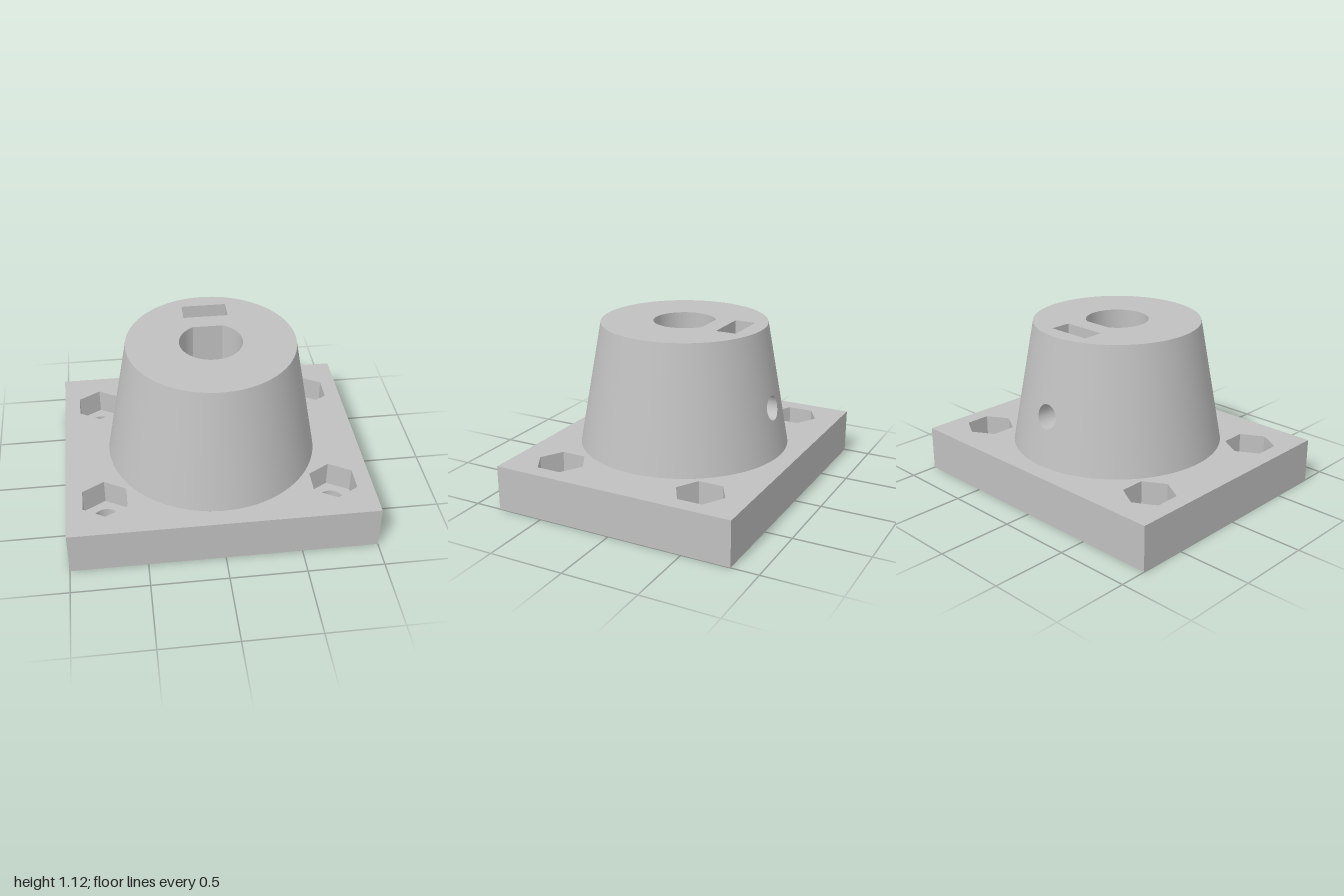
import * as THREE from 'three';
import { mergeGeometries, toCreasedNormals } from 'three/addons/utils/BufferGeometryUtils.js';

// Modelled z-up (x right, y towards the back); the whole part is tipped to y-up at the end.
const BASE_T = 0.3, TOP = 1.125, R_BASE = 0.7, R_TOP = 0.55;
const SLOPE = (R_BASE - R_TOP) / (TOP - BASE_T);
const POCKET_Z = 0.13;                              // floor of the nut pockets
const BORE_R = 0.205, BORE_FLAT = 0.18, BORE_Z = BASE_T;
const SLOT = { x: 0.148, y0: 0.3, y1: 0.44, z: 0.47 };
const SCREW_R = 0.08, SCREW_Z = 0.62;
const coneR = z => R_BASE - SLOPE * (z - BASE_T);

// Counter-clockwise points on an arc (a full circle by default)
function arc(r, n, cx = 0, cy = 0, a0 = 0, a1 = Math.PI * 2) {
  const closed = a1 - a0 > Math.PI * 2 - 1e-6;
  return Array.from({ length: closed ? n : n + 1 }, (_, i) => {
    const a = a0 + (a1 - a0) * i / n;
    return new THREE.Vector2(cx + r * Math.cos(a), cy + r * Math.sin(a));
  });
}
const rect = (x0, y0, x1, y1) =>
  [[x0, y0], [x1, y0], [x1, y1], [x0, y1]].map(p => new THREE.Vector2(...p));
const at = (pts, z) => pts.map(p => new THREE.Vector3(p.x, p.y, z));

// Skin between successive loops of points
function loft(loops, closed = true) {
  const pos = [];
  for (let k = 0; k + 1 < loops.length; k++) {
    const a = loops[k], b = loops[k + 1], n = a.length;
    for (let i = 0; i < (closed ? n : n - 1); i++) {
      const j = (i + 1) % n;
      for (const p of [a[i], a[j], b[j], a[i], b[j], b[i]]) pos.push(p.x, p.y, p.z);
    }
  }
  const g = new THREE.BufferGeometry();
  g.setAttribute('position', new THREE.Float32BufferAttribute(pos, 3));
  g.computeVertexNormals();
  return toCreasedNormals(g, 0.4);
}

// Flat face with holes, in the same attribute layout as loft
function face(outline, holes = []) {
  const s = new THREE.Shape(outline);
  s.holes = holes.map(h => new THREE.Path(h));
  return new THREE.ShapeGeometry(s).toNonIndexed().deleteAttribute('uv');
}

// Upright panel pierced by the screw hole
function panel(halfW, z0, y, facesBack = false) {
  const g = face(rect(-halfW, z0, halfW, TOP), [arc(SCREW_R, 32, 0, SCREW_Z)]).rotateX(Math.PI / 2);
  if (facesBack) g.rotateZ(Math.PI);
  return g.translate(0, y, 0);
}

// Tapered wall: plain arc plus a patch wrapped around the screw hole
function hubWall() {
  const w = 0.3, n = 64, rings = 6;
  const side = z => at(arc(coneR(z), 96, 0, 0, Math.PI / 2 + w, Math.PI * 2.5 - w), z);
  const loops = [];
  for (let k = 0; k <= rings; k++) {
    loops.push(arc(1, n).map(({ x: c, y: s }) => {
      const m = Math.max(Math.abs(c), Math.abs(s)), t = k / rings;
      const zIn = SCREW_Z + SCREW_R * s, phiIn = Math.asin(SCREW_R * c / coneR(zIn));
      const zOut = SCREW_Z + s / m * (s > 0 ? TOP - SCREW_Z : SCREW_Z - BASE_T);
      const z = THREE.MathUtils.lerp(zIn, zOut, t), phi = THREE.MathUtils.lerp(phiIn, w * c / m, t);
      return new THREE.Vector3(coneR(z) * Math.sin(phi), coneR(z) * Math.cos(phi), z);
    }));
  }
  const g = mergeGeometries([loft([side(BASE_T), side(TOP)], false), loft(loops)]);
  const p = g.attributes.position, v = new THREE.Vector3();
  for (let i = 0; i < p.count; i++) {
    v.set(p.getX(i), p.getY(i), 0).normalize().setZ(SLOPE).normalize();
    g.attributes.normal.setXYZ(i, v.x, v.y, v.z);
  }
  return g;
}

export function createModel() {
  const grey = new THREE.MeshStandardMaterial({ color: 0xc0c0c0 });
  grey.name = 'light grey';
  const body = new THREE.Group();
  body.name = 'flangedHub';
  const add = (name, ...geos) => {
    const m = new THREE.Mesh(mergeGeometries(geos), grey);
    m.name = name;
    body.add(m);
  };

  // Base plate with four bolt positions
  const plate = rect(-1, -0.82, 1, 0.82);
  const bolts = [[-0.75, -0.5], [0.75, -0.5], [0.75, 0.5], [-0.75, 0.5]];
  const hexes = bolts.map(([x, y]) => arc(0.165, 6, x, y, Math.PI / 6, Math.PI / 6 + Math.PI * 2));
  const drills = bolts.map(([x, y]) => arc(0.085, 40, x, y));
  add('basePlateSides', loft([at(plate, 0), at(plate, BASE_T)]));
  add('basePlateTop', face(plate, [...hexes, arc(R_BASE, 96)]).translate(0, 0, BASE_T));
  add('basePlateBottom', face(plate, drills).rotateY(Math.PI));

  // Hexagonal nut pockets above round bolt holes
  bolts.forEach((_, i) => {
    add('nutPocket',
      loft([at(hexes[i], BASE_T), at(hexes[i], POCKET_Z)]),
      face(hexes[i], [drills[i]]).translate(0, 0, POCKET_Z));
    add('boltHole', loft([at(drills[i], POCKET_Z), at(drills[i], 0)]));
  });

  // Tapered hub
  const half = Math.acos(BORE_FLAT / BORE_R);
  const bore = arc(BORE_R, 56, 0, 0, Math.PI / 2 + half, Math.PI * 2.5 - half);
  const slot = rect(-SLOT.x, SLOT.y0, SLOT.x, SLOT.y1);
  add('hubWall', hubWall());
  add('hubTop', face(arc(R_TOP, 96), [bore, slot]).translate(0, 0, TOP));

  // D-shaped shaft bore
  add('shaftBore',
    loft([at(bore, TOP), at(bore, BORE_Z)], false),
    panel(BORE_R * Math.sin(half), BORE_Z, BORE_FLAT),
    face(bore).translate(0, 0, BORE_Z));

  // Captive nut slot
  const ends = [[slot[1], slot[2]], [slot[3], slot[0]]];
  add('nutSlot',
    panel(SLOT.x, SLOT.z, SLOT.y0, true),
    panel(SLOT.x, SLOT.z, SLOT.y1),
    ...ends.map(e => loft([at(e, TOP), at(e, SLOT.z)], false)),
    face(slot).translate(0, 0, SLOT.z));

  // Set screw hole: bore to slot, then slot to the outer wall
  const ring = depth => arc(SCREW_R, 64, 0, SCREW_Z).map(p => new THREE.Vector3(p.x, depth(p.x, p.y), p.y));
  add('setScrewHole',
    loft([ring(() => BORE_FLAT), ring(() => SLOT.y0)]),
    loft([ring(() => SLOT.y1), ring((x, z) => Math.sqrt(coneR(z) ** 2 - x * x))]));

  body.rotation.x = -Math.PI / 2;
  const model = new THREE.Group();
  model.name = 'shaftMount';
  model.add(body);
  return model;
}
